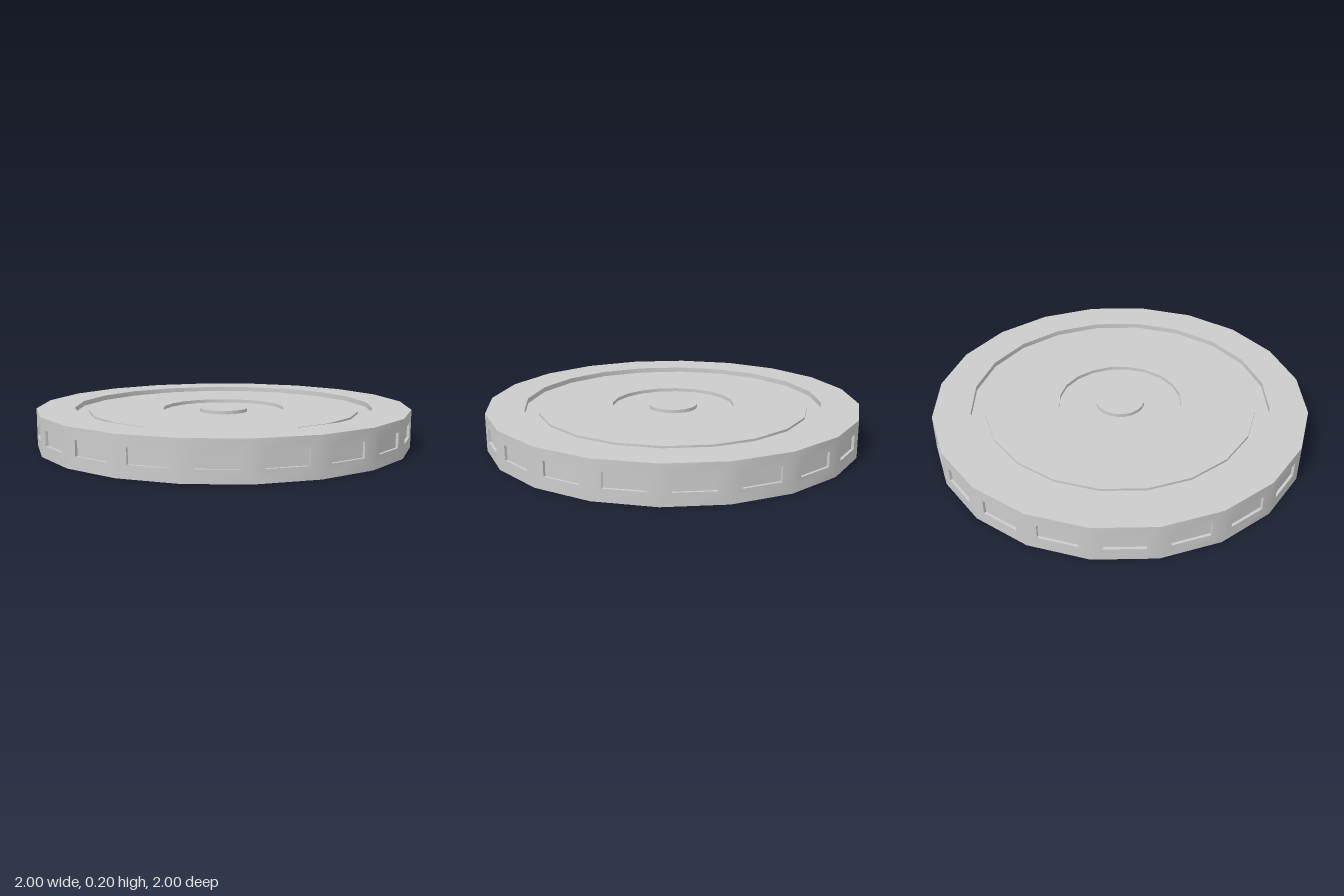
import * as THREE from 'three';
import { mergeGeometries, toCreasedNormals } from 'three/addons/utils/BufferGeometryUtils.js';

const SIDES = 20;
const HEIGHT = 0.2;
const CREASE = 0.5; // smooth between facets, sharp at steps

export function createModel() {
  const group = new THREE.Group();
  const material = new THREE.MeshStandardMaterial({ color: 0xcccccc });

  const add = (name, geometry) => {
    const mesh = new THREE.Mesh(toCreasedNormals(geometry, CREASE), material);
    mesh.name = name;
    group.add(mesh);
  };
  const turned = (name, profile) =>
    add(name, new THREE.LatheGeometry(profile.map(([r, y]) => new THREE.Vector2(r, y)), SIDES));

  // Underside with a shallow recess inside a narrow foot ring
  turned('underside', [[0, 0.01], [0.94, 0.01], [0.94, 0], [1, 0]]);

  // Top surfaces, from the outer rim inward
  turned('topRim', [[1, HEIGHT], [0.8, HEIGHT], [0.8, 0.173]]);
  turned('ringGroove', [[0.8, 0.173], [0.725, 0.173]]);
  turned('raisedDisc', [[0.725, 0.173], [0.725, 0.185], [0.33, 0.185]]);
  turned('centreWell', [[0.33, 0.185], [0.33, 0.167], [0.13, 0.167]]);
  turned('centreHub', [[0.13, 0.167], [0.13, 0.185], [0, 0.185]]);

  // Outer wall: one panel per side, each with a sunken rectangular window
  const apothem = Math.cos(Math.PI / SIDES);
  const half = Math.sin(Math.PI / SIDES);
  const w = 0.2, h = 0.077, depth = 0.014, midY = 0.103;

  const rectangle = (Type, x, y0, y1) => new Type([
    new THREE.Vector2(-x, y0), new THREE.Vector2(x, y0),
    new THREE.Vector2(x, y1), new THREE.Vector2(-x, y1),
  ]);
  const frameShape = rectangle(THREE.Shape, half, 0, HEIGHT);
  frameShape.holes.push(rectangle(THREE.Path, w / 2, midY - h / 2, midY + h / 2));
  const frame = new THREE.ShapeGeometry(frameShape).translate(0, 0, apothem);

  // Inside-out box without its front face forms the window recess
  const recess = new THREE.BoxGeometry(w, h, depth).scale(-1, 1, 1);
  const index = Array.from(recess.index.array);
  index.splice(24, 6);
  recess.setIndex(index);
  recess.translate(0, midY, apothem - depth / 2);

  const around = (geometry) => mergeGeometries(Array.from({ length: SIDES }, (_, i) =>
    geometry.clone().rotateY(((i + 0.5) / SIDES) * Math.PI * 2)));
  add('outerWall', around(frame));
  add('windowRecesses', around(recess));

  return group;
}
